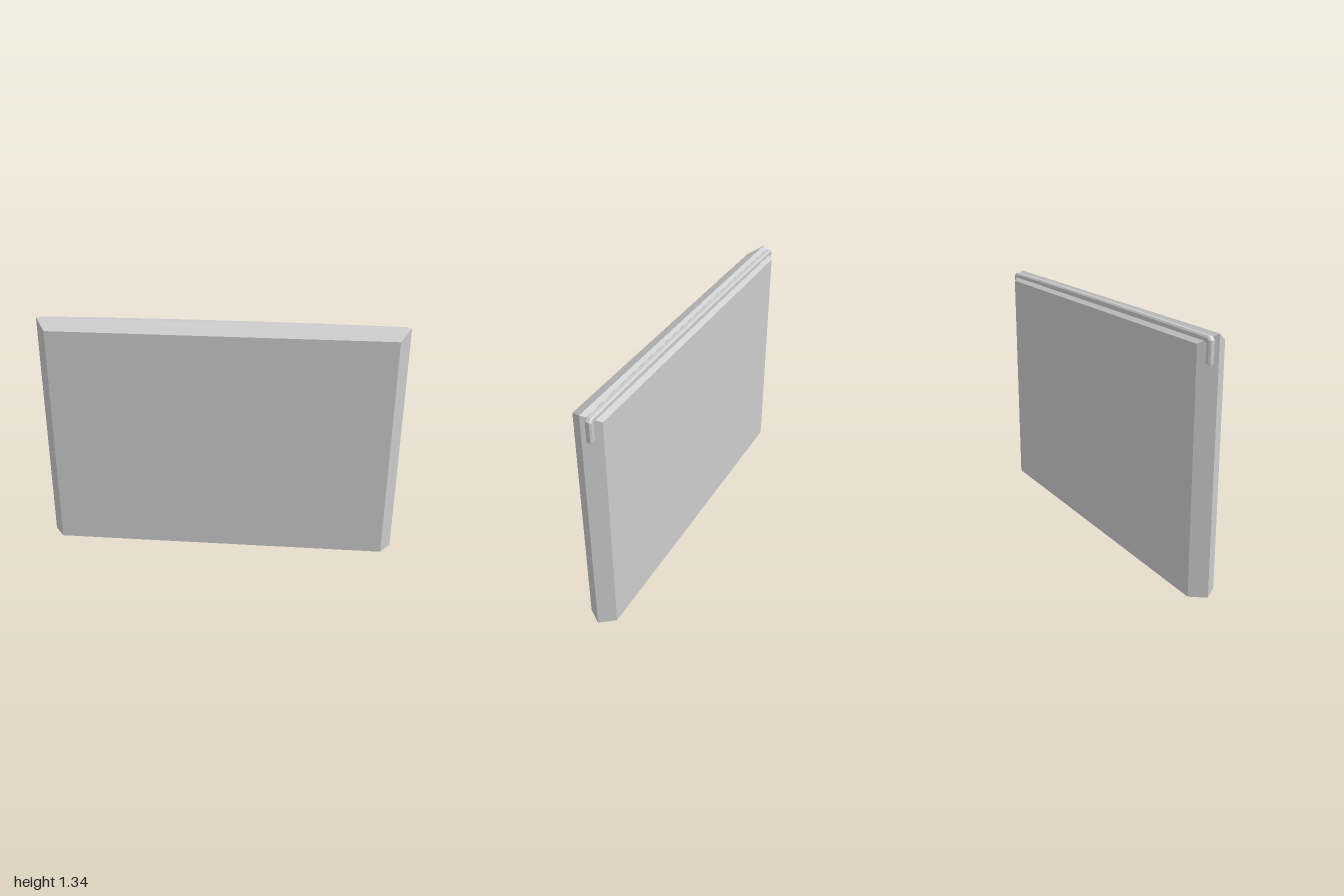
import * as THREE from 'three';

const material = new THREE.MeshStandardMaterial({ color: 0xcccccc, flatShading: true, side: THREE.DoubleSide });

const HALF = 1, INSET = 0.94, DEPTH = 0.08, SHOULDER = 1.285, RIDGE = 1.335;

function quadMesh(name, quads) {
  const positions = [];
  for (const [a, b, c, d] of quads) for (const p of [a, b, c, a, c, d]) positions.push(...p);
  const geometry = new THREE.BufferGeometry();
  geometry.setAttribute('position', new THREE.Float32BufferAttribute(positions, 3));
  geometry.computeVertexNormals();
  const mesh = new THREE.Mesh(geometry, material);
  mesh.name = name;
  return mesh;
}

// One half of the hollow panel: flat face, angled sides and sloped top, open below
function panelHalf(name) {
  const face = [[-INSET, 0, DEPTH], [INSET, 0, DEPTH], [INSET, SHOULDER, DEPTH], [-INSET, SHOULDER, DEPTH]];
  const rim = [[-HALF, 0, 0], [HALF, 0, 0], [HALF, RIDGE, 0], [-HALF, RIDGE, 0]];
  const quads = [face];
  for (let i = 1; i < 4; i++) {
    const j = (i + 1) % 4;
    quads.push([face[i], rim[i], rim[j], face[j]]);
  }
  return quadMesh(name, quads);
}

// Cord lying along the back slope, with both ends hanging over the sides
function hangingCord() {
  const bevel = 0.008;
  const o = HALF - bevel, i = 0.975;
  const shape = new THREE.Shape();
  shape.moveTo(-o, 1.205);
  shape.lineTo(-o, 1.305);
  shape.lineTo(-o + 0.012, 1.317);
  shape.quadraticCurveTo(0.1, 1.331, o - 0.012, 1.317);
  shape.lineTo(o, 1.305);
  shape.lineTo(o, 1.205);
  shape.lineTo(i, 1.205);
  shape.lineTo(i, 1.3);
  shape.lineTo(-i, 1.3);
  shape.lineTo(-i, 1.205);
  shape.closePath();
  const geometry = new THREE.ExtrudeGeometry(shape, {
    depth: 0.018, bevelEnabled: true, bevelSize: bevel, bevelThickness: bevel, bevelSegments: 1, curveSegments: 8,
  });
  geometry.translate(0, 0, -0.047);
  const mesh = new THREE.Mesh(geometry, material);
  mesh.name = 'hangingCord';
  return mesh;
}

export function createModel() {
  const model = new THREE.Group();
  model.name = 'bevelledPanel';
  const back = panelHalf('backShell');
  back.rotation.y = Math.PI;
  model.add(panelHalf('frontShell'), back, hangingCord());
  return model;
}
